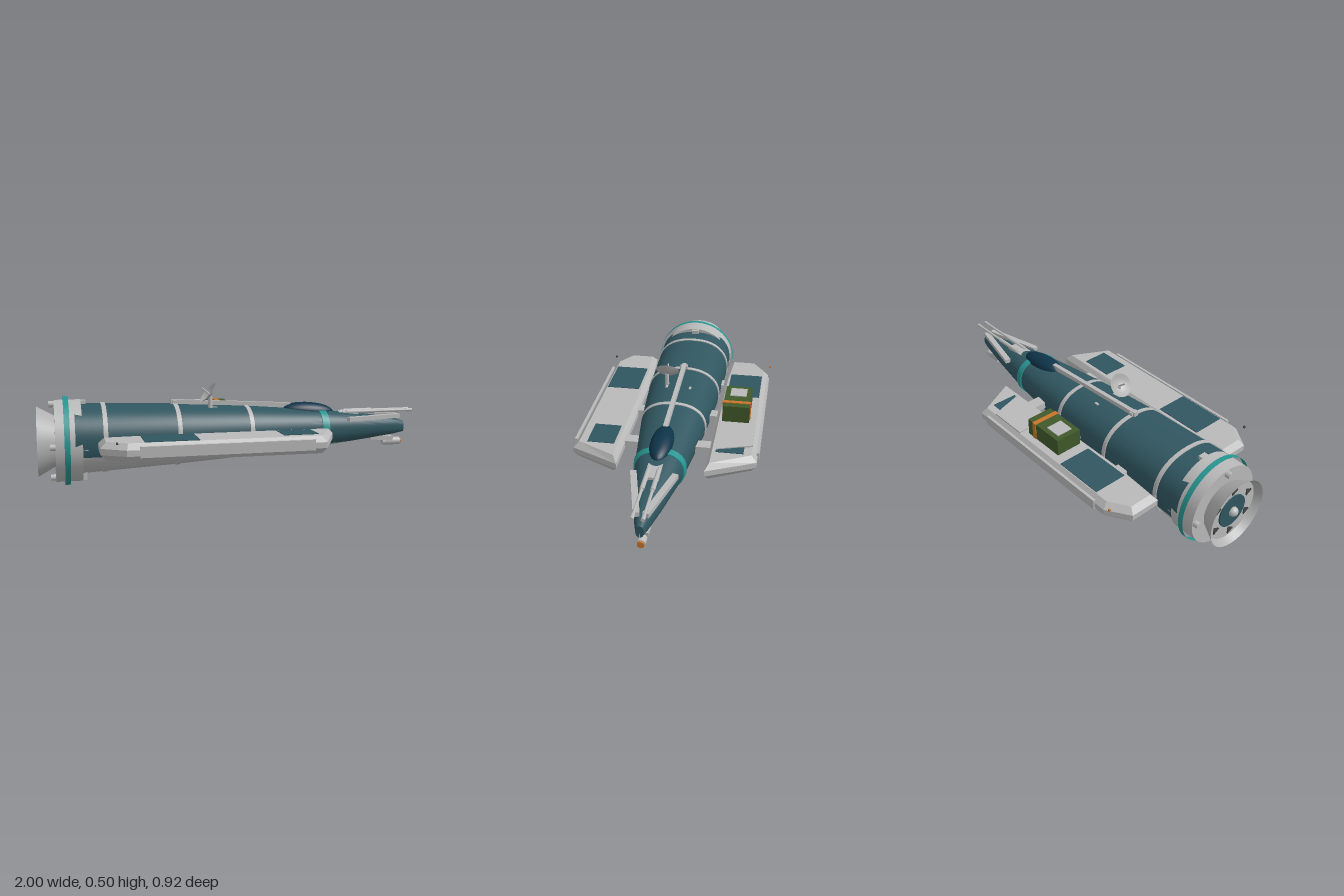
import * as THREE from 'three';
import { toCreasedNormals } from 'three/addons/utils/BufferGeometryUtils.js';

const mat = (name, color, side = THREE.FrontSide) =>
  Object.assign(new THREE.MeshStandardMaterial({ color, side }), { name });

// Hull stations: x, centre height, half height, half width
const STATIONS = [
  [-0.82, 0.233, 0.175, 0.205], [-0.3, 0.238, 0.153, 0.193], [0.07, 0.24, 0.131, 0.167],
  [0.48, 0.239, 0.098, 0.119], [0.75, 0.238, 0.066, 0.07], [0.9, 0.234, 0.045, 0.036], [0.96, 0.229, 0.029, 0.018],
];

function section(x) {
  let i = 0;
  while (i < STATIONS.length - 2 && x > STATIONS[i + 1][0]) i++;
  const a = STATIONS[i], b = STATIONS[i + 1], t = (x - a[0]) / (b[0] - a[0]);
  return [1, 2, 3].map(k => a[k] + (b[k] - a[k]) * t);
}

// Skin over rows of [x, scale]; arc(cy, ry) gives the start and end angle
function hullSkin(rows, arc) {
  const pos = [], idx = [], n = 48;
  rows.forEach(([x, s], i) => {
    const [cy, ry, rz] = section(x);
    const [a0, a1] = arc(cy, ry);
    for (let j = 0; j <= n; j++) {
      const a = a0 + (a1 - a0) * j / n;
      const c = Math.cos(a), q = Math.sin(a);
      const k = s / Math.pow(Math.abs(c) ** 2.3 + Math.abs(q) ** 2.3, 1 / 2.3);
      pos.push(x, cy + ry * q * k, rz * c * k);
      if (i && j) {
        const p = (i - 1) * (n + 1) + j - 1, r = p + n + 1;
        idx.push(p, r, p + 1, r, r + 1, p + 1);
      }
    }
  });
  const g = new THREE.BufferGeometry();
  g.setAttribute('position', new THREE.Float32BufferAttribute(pos, 3));
  g.setIndex(idx);
  return toCreasedNormals(g, 0.6);
}

export function createModel() {
  const root = new THREE.Group();
  root.name = 'spacecraft';
  const gray = mat('light gray', 0xb9b9b9);
  const grayOpen = mat('gray shell', 0xb0b0b0, THREE.DoubleSide);
  const hullTeal = mat('dark teal', 0x305660);
  const trim = mat('bright teal', 0x279490, THREE.DoubleSide);
  const glass = mat('canopy blue', 0x0d3348);
  const green = mat('cargo green', 0x40592a);
  const orange = mat('orange', 0xc8752a);
  const dark = mat('dark gray', 0x444648);

  const add = (name, geo, m, p = [0, 0, 0], r = [0, 0, 0]) => {
    const mesh = new THREE.Mesh(geo, m);
    mesh.name = name;
    mesh.position.set(...p);
    mesh.rotation.set(...r);
    root.add(mesh);
    return mesh;
  };
  const box = (name, m, size, p, r) => add(name, new THREE.BoxGeometry(...size), m, p, r);
  // Cylinder lying along x, from x0 (radius r0) to x1 (radius r1)
  const tube = (name, m, x0, x1, r0, r1, y, z = 0, open = false, sides = 48) =>
    add(name, new THREE.CylinderGeometry(r1, r0, x1 - x0, sides, 1, open), m, [(x0 + x1) / 2, y, z], [0, 0, -Math.PI / 2]);

  // Hull: teal upper skin and gray belly, split at a fixed height
  const rows = [];
  for (let i = 0; i <= 40; i++) rows.push([-0.82 + 1.78 * i / 40, 1]);
  rows.push([0.96, 0]);
  const split = (cy, ry) => Math.asin(Math.max(-0.985, Math.min(0, (0.168 - cy) / ry)));
  add('upperHull', hullSkin(rows, (cy, ry) => [split(cy, ry), Math.PI - split(cy, ry)]), hullTeal);
  add('bellyHull', hullSkin(rows, (cy, ry) => [Math.PI - split(cy, ry), 2 * Math.PI + split(cy, ry)]), gray);

  // Hull bands
  const band = (name, m, x, w, s) => add(name,
    hullSkin([[x - w, 0.97], [x - w, s], [x + w, s], [x + w, 0.97]], () => [0, Math.PI * 2]), m);
  for (const x of [-0.675, -0.31, 0.065]) band('hullBand', gray, x, 0.011, 1.025);
  band('noseBand', trim, 0.475, 0.02, 1.05);

  // Engine section
  const cy = 0.222;
  tube('engineCollar', gray, -0.915, -0.785, 0.205, 0.205, cy);
  tube('engineTrim', trim, -0.872, -0.845, 0.222, 0.222, cy, 0, true);
  tube('engineBell', grayOpen, -1, -0.915, 0.175, 0.128, cy, 0, true);
  tube('engineBackPlate', gray, -0.965, -0.915, 0.154, 0.128, cy);
  tube('engineCore', hullTeal, -0.972, -0.96, 0.085, 0.085, cy);
  add('engineHub', new THREE.SphereGeometry(0.025, 20, 12), gray, [-0.975, cy, 0]);
  for (let i = 0; i < 6; i++) {
    const a = i * Math.PI / 3 + Math.PI / 6;
    tube('engineVent', dark, -0.971, -0.96, 0.023, 0.023, cy + 0.118 * Math.sin(a), 0.118 * Math.cos(a), false, 3);
  }
  for (let i = 0; i < 4; i++) {
    const a = i * Math.PI / 2, c = Math.cos(a), s = Math.sin(a);
    tube('collarThruster', gray, -0.94, -0.91, 0.016, 0.016, cy + 0.186 * s, 0.186 * c, false, 16);
    box('collarBracket', gray, [0.03, 0.035, 0.04], [-0.775, cy + 0.185 * s, 0.185 * c], [-a + Math.PI / 2, 0, 0]);
  }

  // Side pods
  for (const s of [1, -1]) {
    const outline = [[-0.715, 0.222], [-0.715, 0.378], [-0.6, 0.452], [0.36, 0.452], [0.475, 0.212], [-0.45, 0.205]];
    const shape = new THREE.Shape(outline.map(([x, z]) => new THREE.Vector2(x, z * s)));
    const geo = new THREE.ExtrudeGeometry(shape, {
      depth: 0.029, bevelSize: 0.027, bevelOffset: -0.027, bevelThickness: 0.029, bevelSegments: 1,
    });
    add('sidePod', geo.rotateX(Math.PI / 2), gray, [0, 0.243, 0]);
    box('podArmorPlate', gray, [0.84, 0.052, 0.014], [-0.12, 0.233, s * 0.453]);
    box('podRearPanel', hullTeal, [0.26, 0.006, 0.175], [-0.385, 0.272, s * 0.333]);
    box('podFrontPanel', hullTeal, [0.175, 0.006, 0.135], [0.252, 0.272, s * 0.318]);
    for (const x of [-0.45, -0.085, 0.238])
      box('podPylon', gray, [0.065, 0.036, x > 0 ? 0.12 : 0.08], [x, 0.232, s * (x > 0 ? 0.18 : 0.2)]);
    box('markerLight', s > 0 ? dark : orange, [0.01, 0.009, 0.009], [-0.645, 0.278, s * 0.457]);
  }

  // Hatch cover and cargo crate on the right pod
  const hatch = new THREE.Shape([[0.06, -0.425], [0.06, -0.25], [0.32, -0.25], [0.265, -0.425]].map(p => new THREE.Vector2(...p)));
  add('podHatch', new THREE.ExtrudeGeometry(hatch, { depth: 0.008, bevelEnabled: false }).rotateX(Math.PI / 2), gray, [0, 0.28, 0]);
  box('cargoCrate', green, [0.23, 0.09, 0.138], [-0.083, 0.315, -0.319]);
  box('cargoLabel', gray, [0.085, 0.006, 0.085], [-0.128, 0.361, -0.32]);
  box('cargoStrap', orange, [0.024, 0.094, 0.146], [-0.018, 0.316, -0.319]);

  // Canopy and spine
  add('canopy', new THREE.SphereGeometry(1, 32, 20).scale(0.145, 0.045, 0.056), glass, [0.405, 0.334, 0], [0, 0, -0.07]);
  box('dorsalSpine', gray, [0.64, 0.03, 0.022], [-0.01, 0.382, 0], [0, 0, -0.057]);
  box('spineFoot', gray, [0.02, 0.025, 0.04], [-0.31, 0.398, 0]);
  for (const s of [1, -1]) box('hullGrip', gray, [0.025, 0.012, 0.012], [-0.11, 0.372, s * 0.062]);

  // Dish antenna
  const dish = [[0, 0], [0.02, 0.002], [0.04, 0.009], [0.061, 0.022]].map(p => new THREE.Vector2(...p));
  const tilt = [0, 0, 0.87];
  add('dish', new THREE.LatheGeometry(dish, 32), grayOpen, [-0.132, 0.438, 0.065], tilt);
  add('dishFeed', new THREE.CylinderGeometry(0.004, 0.004, 0.06, 10), gray, [-0.155, 0.457, 0.065], tilt);
  add('dishMast', new THREE.CylinderGeometry(0.01, 0.012, 0.08, 14), gray, [-0.135, 0.4, 0.065]);

  // Nose guns and strakes
  box('gunMount', gray, [0.12, 0.02, 0.068], [0.625, 0.314, 0]);
  for (const s of [1, -1]) {
    tube('gunBarrel', gray, 0.6, 1, 0.007, 0.007, 0.322, s * 0.024, false, 14);
    tube('gunSleeve', gray, 0.62, 0.78, 0.011, 0.011, 0.322, s * 0.024, false, 14);
    tube('gunMuzzle', gray, 0.965, 1, 0.009, 0.009, 0.322, s * 0.024, false, 14);
    box('noseStrake', gray, [0.33, 0.022, 0.03], [0.765, 0.292, s * 0.059], [0, s * 0.24, 0]);
  }

  // Chin sensor
  box('chinMount', gray, [0.13, 0.026, 0.05], [0.83, 0.172, 0], [0, 0, -0.1]);
  tube('chinSensor', gray, 0.84, 0.94, 0.021, 0.021, 0.149, 0, false, 20);
  tube('chinLens', orange, 0.935, 0.947, 0.018, 0.016, 0.149, 0, false, 20);

  return root;
}
